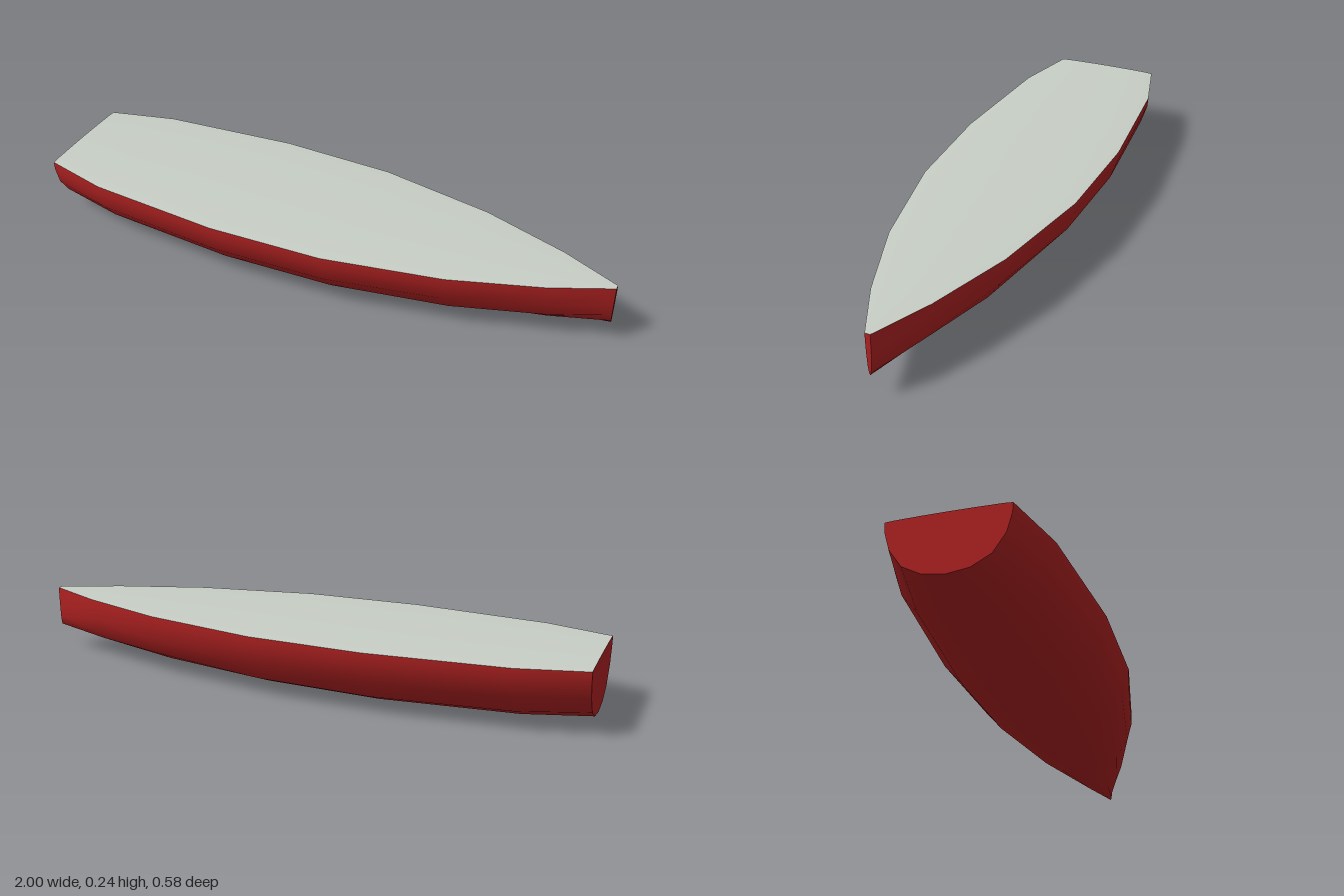
import * as THREE from 'three';

const RAIL = 0.232; // height of the deck edge

// Hull stations from stern to bow: [x, half width, keel height]
const stations = [
  [-1, 0.19, 0.035], [-0.77, 0.249, 0.015], [-0.3, 0.288, 0.002], [0.1, 0.275, 0.009],
  [0.5, 0.2, 0.031], [0.8, 0.1, 0.06], [1, 0.009, 0.089],
];
// Half section of the hull: [fraction of half width, fraction of depth]
const side = [[1, 0], [0.99, 0.16], [0.905, 0.467], [0.695, 0.773], [0.37, 0.948]];
const hullSection = [...side, [0, 1], ...side.map(([w, d]) => [-w, d]).reverse()];
// Cambered deck section: [fraction of half width, fraction of crown]
const deckSection = [[-1, 0], [-0.86, 0.5], [-0.45, 0.85], [0, 1], [0.45, 0.85], [0.86, 0.5], [1, 0]];

const hullRing = ([x, w, keel]) => hullSection.map(([f, d]) => [x, RAIL - d * (RAIL - keel), f * w]);
const deckRing = ([x, w]) => deckSection.map(([f, c]) => [x, RAIL + c * 0.0065 * (w / 0.288), f * w]);

function build(points, index) {
  const geometry = new THREE.BufferGeometry();
  geometry.setAttribute('position', new THREE.Float32BufferAttribute(points.flat(), 3));
  geometry.setIndex(index);
  geometry.computeVertexNormals();
  return geometry;
}

// Smooth skin through open rings
function loft(rings) {
  const n = rings[0].length;
  const index = [];
  for (let i = 0; i < rings.length - 1; i++) {
    for (let j = 0; j < n - 1; j++) {
      const a = i * n + j;
      index.push(a, a + 1, a + n, a + 1, a + n + 1, a + n);
    }
  }
  return build(rings.flat(), index);
}

// Flat end plate closing hull and deck at one station
function endPlate(station, facesBow) {
  const outline = [...hullRing(station), ...deckRing(station).slice(1, -1)];
  const n = outline.length;
  const index = [];
  for (let i = 0; i < n; i++) {
    const a = i + 1, b = ((i + 1) % n) + 1;
    index.push(0, ...(facesBow ? [a, b] : [b, a]));
  }
  return build([[station[0], RAIL, 0], ...outline], index);
}

export function createModel() {
  const model = new THREE.Group();
  model.name = 'boatHull';
  const hullRed = new THREE.MeshStandardMaterial({ color: 0xb22222 });
  hullRed.name = 'hullRed';
  const deckGrey = new THREE.MeshStandardMaterial({ color: 0xc8cfc6 });
  deckGrey.name = 'deckGrey';

  const add = (name, geometry, material) => {
    const mesh = new THREE.Mesh(geometry, material);
    mesh.name = name;
    model.add(mesh);
  };
  add('hull', loft(stations.map(hullRing)), hullRed);
  add('deck', loft(stations.map(deckRing)), deckGrey);
  add('transom', endPlate(stations[0], false), hullRed);
  add('stem', endPlate(stations[stations.length - 1], true), hullRed);
  return model;
}
